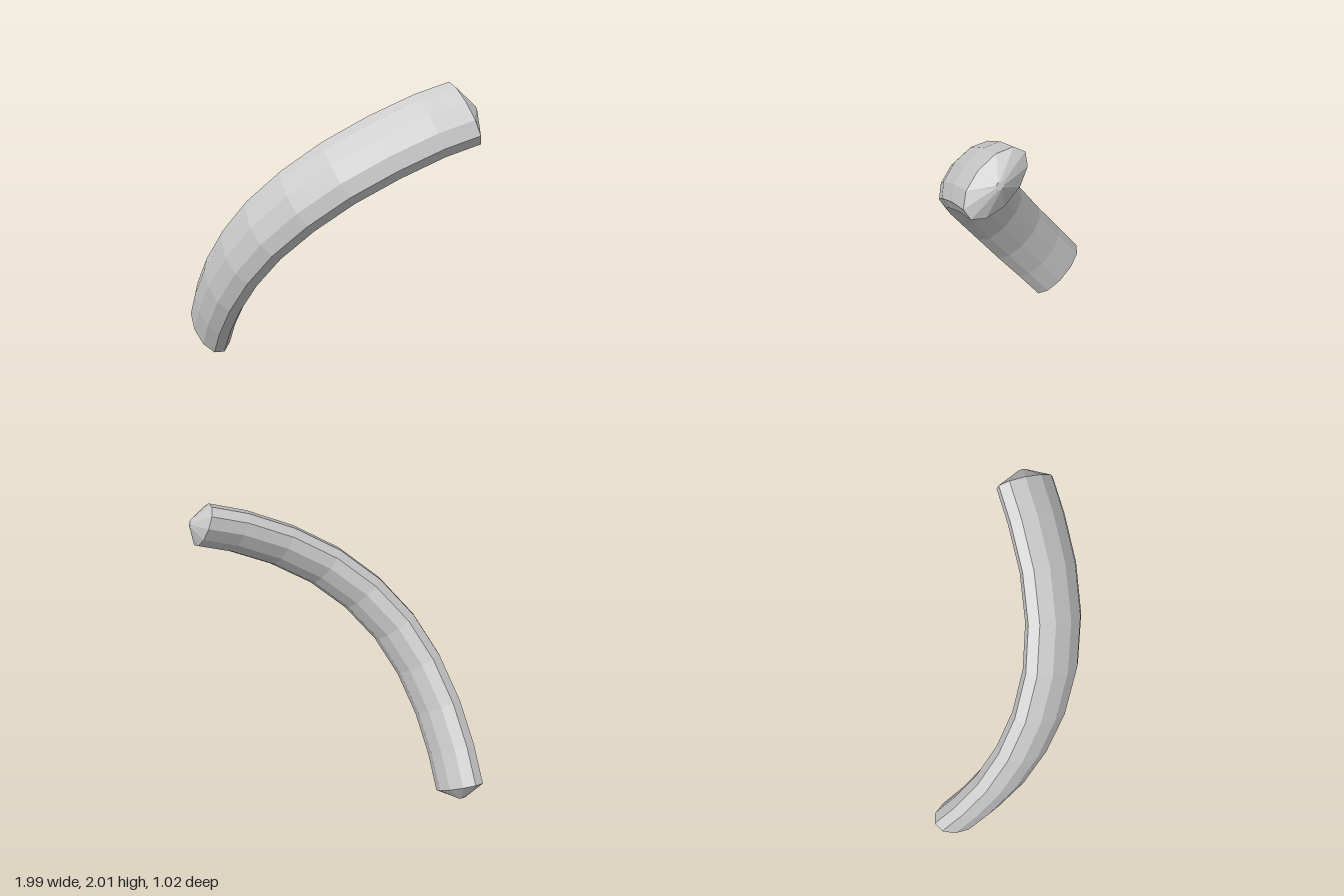
import * as THREE from 'three';

const SIDES = 11;
const HALF_WIDTH = 0.245; // across the plane of the bend
const HALF_DEPTH = 0.128; // towards the centre of the bend
const CAP_HEIGHT = 0.08;
const TIP_RADIUS = 0.022;

// centre line of the bend, bottom end to top end
const PATH = [
  [-0.855, 0.15, -0.345], [-0.79, 0.355, -0.195], [-0.69, 0.59, -0.03],
  [-0.548, 0.84, 0.118], [-0.375, 1.068, 0.23], [-0.15, 1.285, 0.305],
  [0.105, 1.475, 0.327], [0.387, 1.635, 0.3], [0.665, 1.76, 0.235], [0.885, 1.83, 0.17],
].map((p) => new THREE.Vector3(...p));

const ACROSS = new THREE.Vector3(0.416, -0.63, 0.656).normalize();

// one oval ring around a centre, facing along the tangent
function ring(center, tangent, a, b) {
  const inward = tangent.clone().cross(ACROSS).normalize();
  const points = [];
  for (let j = 0; j < SIDES; j++) {
    const t = (j / SIDES) * Math.PI * 2 + 0.18;
    points.push(center.clone()
      .addScaledVector(ACROSS, a * Math.cos(t))
      .addScaledVector(inward, b * Math.sin(t)));
  }
  return points;
}

// skin between successive rings
function loft(rings) {
  const pos = [];
  const tri = (...v) => v.forEach((p) => pos.push(p.x, p.y, p.z));
  for (let i = 0; i < rings.length - 1; i++) {
    for (let j = 0; j < SIDES; j++) {
      const k = (j + 1) % SIDES;
      const [a, b, c, d] = [rings[i][j], rings[i][k], rings[i + 1][k], rings[i + 1][j]];
      tri(a, b, c);
      tri(a, c, d);
    }
  }
  const geo = new THREE.BufferGeometry();
  geo.setAttribute('position', new THREE.Float32BufferAttribute(pos, 3));
  geo.computeVertexNormals();
  return geo;
}

export function createModel() {
  const group = new THREE.Group();
  group.name = 'bentRod';
  const material = new THREE.MeshStandardMaterial({ color: 0xcccccc, flatShading: true });
  const add = (name, rings) => {
    const mesh = new THREE.Mesh(loft(rings), material);
    mesh.name = name;
    group.add(mesh);
  };

  const last = PATH.length - 1;
  const tangents = PATH.map((p, i) => PATH[Math.min(i + 1, last)].clone()
    .sub(PATH[Math.max(i - 1, 0)]).normalize());
  const body = PATH.map((p, i) => ring(p, tangents[i], HALF_WIDTH, HALF_DEPTH));
  add('body', body);

  // shallow cone ends, each with a tiny blunt tip
  const tipRings = (i, dir) => {
    const c = PATH[i].clone().addScaledVector(tangents[i], dir * CAP_HEIGHT);
    return [ring(c, tangents[i], TIP_RADIUS, TIP_RADIUS), ring(c, tangents[i], 0, 0)];
  };
  add('topCap', [body[last], ...tipRings(last, 1)]);
  add('bottomCap', [body[0], ...tipRings(0, -1)].reverse());
  return group;
}
